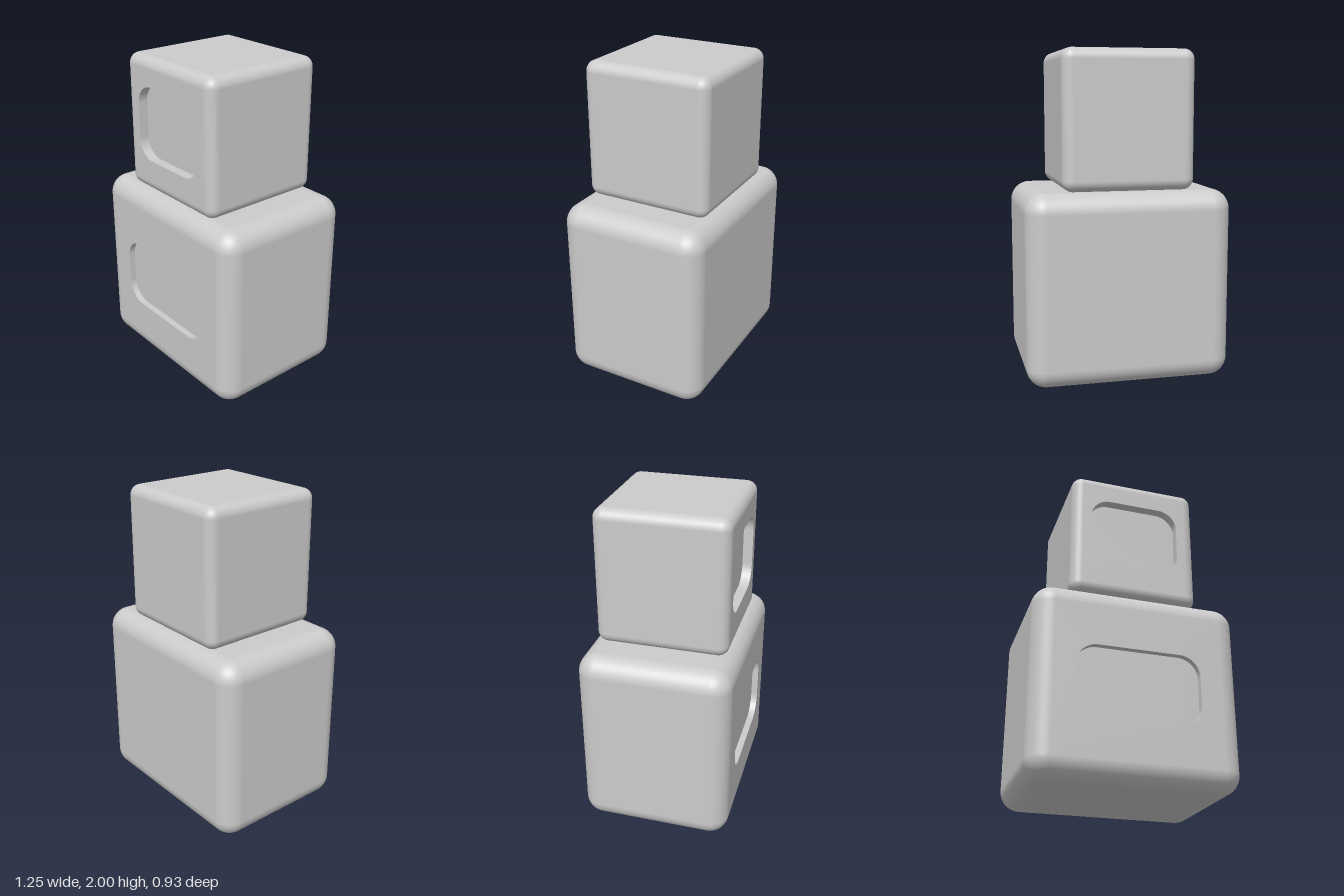
import * as THREE from 'three';
import { RoundedBoxGeometry } from 'three/addons/geometries/RoundedBoxGeometry.js';

const material = new THREE.MeshStandardMaterial({ color: 0xcccccc });

function part(name, geometry, parent) {
  const mesh = new THREE.Mesh(geometry, material);
  mesh.name = name;
  parent.add(mesh);
  return mesh;
}

// Rounded rectangle outline centred on (0, cy)
function roundedRect(path, w, h, cy, r) {
  const x = w / 2, y0 = cy - h / 2, y1 = cy + h / 2, q = Math.PI / 2;
  path.moveTo(-x + r, y0);
  path.absarc(x - r, y0 + r, r, -q, 0);
  path.absarc(x - r, y1 - r, r, 0, q);
  path.absarc(-x + r, y1 - r, r, q, 2 * q);
  path.absarc(-x + r, y0 + r, r, 2 * q, 3 * q);
  path.closePath();
  return path;
}

// Rounded box without the flat middle of its front face
function openShell(w, h, d, r) {
  const geometry = new RoundedBoxGeometry(w, h, d, 8, r);
  const pos = geometry.attributes.position, nor = geometry.attributes.normal;
  const p = [], n = [];
  for (let i = 0; i < pos.count; i += 3) {
    if ([0, 1, 2].every((k) => pos.getZ(i + k) > d / 2 - 1e-5)) continue;
    for (let k = i; k < i + 3; k++) {
      p.push(pos.getX(k), pos.getY(k), pos.getZ(k));
      n.push(nor.getX(k), nor.getY(k), nor.getZ(k));
    }
  }
  const shell = new THREE.BufferGeometry();
  shell.setAttribute('position', new THREE.Float32BufferAttribute(p, 3));
  shell.setAttribute('normal', new THREE.Float32BufferAttribute(n, 3));
  return shell;
}

// Rounded block with a shallow recess in its front
function block(name, { w, h, d, r, y, recess }) {
  const group = new THREE.Group();
  group.name = name;
  group.position.y = y + h / 2;
  part(name + 'Shell', openShell(w, h, d, r), group);

  // Front plate; its opening forms the walls of the recess
  const fx = w / 2 - r, fy = h / 2 - r;
  const plate = new THREE.Shape([
    new THREE.Vector2(-fx, -fy), new THREE.Vector2(fx, -fy),
    new THREE.Vector2(fx, fy), new THREE.Vector2(-fx, fy),
  ]);
  const cy = recess.y - group.position.y;
  plate.holes.push(roundedRect(new THREE.Path(), recess.w, recess.h, cy, recess.r));
  const front = new THREE.ExtrudeGeometry(plate, { depth: recess.depth, bevelEnabled: false, curveSegments: 12 });
  part(name + 'Front', front, group).position.z = d / 2 - recess.depth;

  // Floor of the recess
  const floor = roundedRect(new THREE.Shape(), recess.w, recess.h, cy, recess.r);
  part(name + 'RecessFloor', new THREE.ShapeGeometry(floor, 12), group).position.z = d / 2 - recess.depth;
  return group;
}

export function createModel() {
  const model = new THREE.Group();
  model.name = 'stackedBlocks';
  model.add(
    block('body', {
      w: 1.25, h: 1.165, d: 0.93, r: 0.12, y: 0,
      recess: { w: 0.745, h: 0.44, y: 0.57, r: 0.125, depth: 0.04 },
    }),
    block('head', {
      w: 0.8, h: 0.835, d: 0.8, r: 0.065, y: 1.165,
      recess: { w: 0.56, h: 0.46, y: 1.6, r: 0.12, depth: 0.06 },
    }),
  );
  return model;
}
